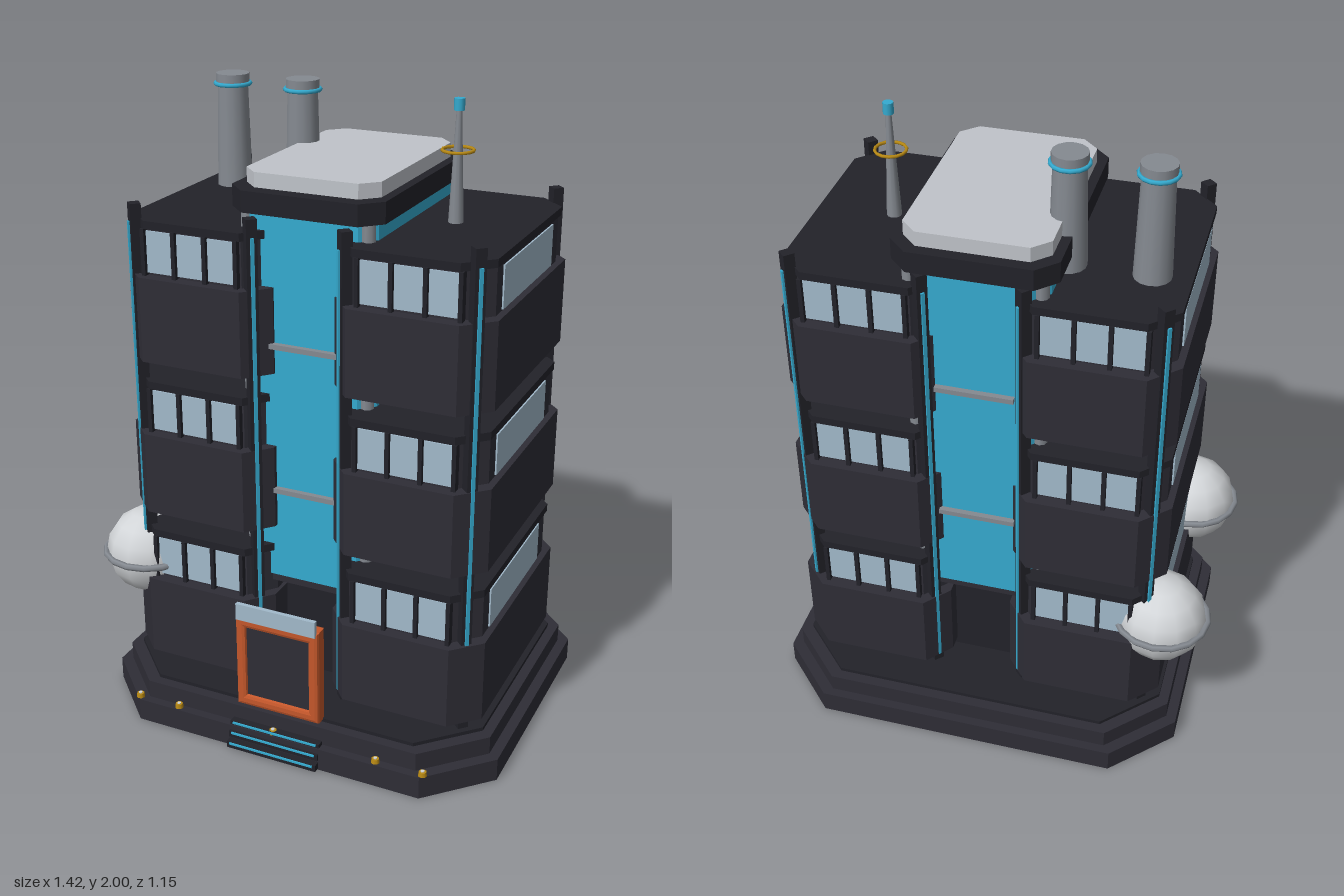
import * as THREE from 'three';

const mat = (name, color) => Object.assign(new THREE.MeshStandardMaterial({ color }), { name });
const dark = mat('charcoal wall', 0x2e2d36);
const trim = mat('black trim', 0x222229);
const blue = mat('cyan glass', 0x35abd0);
const pane = mat('pale window', 0xa2bacb);
const metal = mat('grey metal', 0x858a91);
const light = mat('light roof', 0xc0c4ca);
const white = mat('dome white', 0xd2d5d8);
const orange = mat('orange frame', 0xc4572b);
const gold = mat('gold lamp', 0xb98a14);

const CX = 0.035, CZ = -0.015; // plan centre of the tower

export function createModel() {
  const root = new THREE.Group();
  root.name = 'officeTower';

  const add = (name, geo, material, x = 0, y = 0, z = 0) => {
    const m = new THREE.Mesh(geo, material);
    m.name = name;
    m.position.set(x, y, z);
    root.add(m);
    return m;
  };
  const box = (name, material, w, h, d, x, y, z) =>
    add(name, new THREE.BoxGeometry(w, h, d), material, x, y, z);
  // upright prism from a plan outline, between heights y0 and y1
  const prism = (name, material, pts, y0, y1, z = CZ) => {
    const shape = new THREE.Shape(pts.map(p => new THREE.Vector2(p[0], p[1])));
    const g = new THREE.ExtrudeGeometry(shape, { depth: y1 - y0, bevelEnabled: false });
    g.rotateX(-Math.PI / 2);
    return add(name, g, material, CX, y0, z);
  };
  // rectangle with cut corners
  const octagon = (w, d, c) => [[w - c, -d], [w, c - d], [w, d - c], [w - c, d],
    [c - w, d], [-w, d - c], [-w, c - d], [c - w, -d]];

  // stepped base
  prism('basePlinth', dark, octagon(0.675, 0.562, 0.185), 0, 0.075);
  prism('baseStep', dark, octagon(0.642, 0.533, 0.175), 0.075, 0.135);
  prism('baseTop', trim, octagon(0.61, 0.50, 0.165), 0.135, 0.147);

  // central core with glass shaft, collar and roof cap
  prism('lowerCore', trim, octagon(0.19, 0.27, 0.05), 0.14, 0.49, -0.03);
  prism('coreSoffit', dark, octagon(0.21, 0.325, 0.05), 0.48, 0.505, -0.03);
  prism('glassCore', blue, octagon(0.215, 0.33, 0.045), 0.505, 1.69, -0.03);
  prism('roofCollar', trim, octagon(0.243, 0.365, 0.06), 1.69, 1.755, -0.03);
  prism('roofCap', light, octagon(0.214, 0.322, 0.05), 1.755, 1.8, -0.035);
  for (const sx of [-1, 1]) for (const sz of [-1, 1]) {
    add('coreColumn', new THREE.CylinderGeometry(0.022, 0.022, 1.2, 8), metal,
      CX + sx * 0.192, 1.1, -0.03 + sz * 0.305);
  }
  for (const sz of [-1, 1]) for (const y of [0.81, 1.285]) {
    box('glassBar', metal, 0.24, 0.016, 0.02, CX, y, -0.03 + sz * 0.338);
  }

  // outline of one wing: cut outer corners and cut inner corners facing the shaft
  const wing = (s, outer, depth, front, inner, cut) => [
    [inner, depth - 0.08], [front, depth], [outer - cut, depth], [outer, depth - cut],
    [outer, cut - depth], [outer - cut, -depth], [front, -depth], [inner, 0.08 - depth],
  ].map(([u, v]) => [s * u, v]);

  // three storeys, each with a left and a right wing
  for (let f = 0; f < 3; f++) {
    const y = 0.175 + f * 0.51, k = 0.008 * f;
    for (const s of [-1, 1]) {
      prism('wingWall', dark, wing(s, 0.603 - k / 2, 0.417 - k, 0.17, 0.1, 0.085), y, y + 0.27);
      prism('windowStorey', dark, wing(s, 0.582 - k / 2, 0.378 - k, 0.18, 0.112, 0.08), y + 0.27, y + 0.415);
      prism('wingRoof', trim, wing(s, 0.588 - k / 2, 0.392 - k, 0.178, 0.11, 0.08), y + 0.415, y + 0.44);
      box('sideWindow', pane, 0.008, 0.13, 0.475 - k * 1.5,
        CX + s * (0.583 - k / 2), y + 0.34, -0.008);
      for (const sz of [-1, 1]) {
        box('frontWindow', pane, 0.31, 0.13, 0.008, CX + s * 0.35, y + 0.343, CZ + sz * (0.379 - k));
        for (let i = 0; i < 4; i++) {
          box('windowFin', trim, 0.013, 0.145, 0.026,
            CX + s * (0.192 + i * 0.104), y + 0.343, CZ + sz * (0.383 - k));
        }
      }
    }
  }

  // corner posts with a light strip on the outward face
  for (const sx of [-1, 1]) for (const sz of [-1, 1]) {
    for (const [u, v, out] of [[0.543, 0.352, 1], [0.15, 0.36, -1]]) {
      const post = new THREE.Group();
      post.name = 'cornerPost';
      post.position.set(CX + sx * u, 0, CZ + sz * v);
      post.rotation.y = Math.atan2(sx * out, sz);
      const body = new THREE.Mesh(new THREE.BoxGeometry(0.034, 1.535, 0.034), trim);
      body.name = 'postBody';
      body.position.y = 0.9125;
      const strip = new THREE.Mesh(new THREE.BoxGeometry(0.011, 1.45, 0.008), blue);
      strip.name = 'postLightStrip';
      strip.position.set(0, 0.9, 0.019);
      post.add(body, strip);
      root.add(post);
    }
  }

  // entrance: orange frame, dark door and glass sign plate
  const frame = new THREE.Shape([[-0.13, 0], [0.13, 0], [0.13, 0.3], [-0.13, 0.3]]
    .map(p => new THREE.Vector2(...p)));
  frame.holes.push(new THREE.Path([[-0.118, 0.015], [-0.118, 0.282], [0.118, 0.282], [0.118, 0.015]]
    .map(p => new THREE.Vector2(...p))));
  add('doorFrame', new THREE.ExtrudeGeometry(frame, {
    depth: 0.032, bevelSize: 0.012, bevelThickness: 0.011, bevelSegments: 2,
  }), orange, CX, 0.155, 0.476);
  box('door', dark, 0.235, 0.28, 0.03, CX, 0.3, 0.494);
  box('entrancePlate', pane, 0.27, 0.055, 0.014, CX, 0.482, 0.517);

  // entrance steps with lit edges
  [[0.085, 0.542], [0.055, 0.555], [0.025, 0.57]].forEach(([y, z]) => {
    box('entranceStep', trim, 0.31, 0.022, z - 0.48, CX, y - 0.008, (z + 0.48) / 2);
    box('stepLight', blue, 0.29, 0.006, 0.006, CX, y - 0.001, z + 0.002);
  });

  // ground lamps along the front ledge
  for (const x of [-0.46, -0.315, 0.025, 0.19, 0.375, 0.53]) {
    if (x === 0.19) continue;
    add('groundLamp', new THREE.CylinderGeometry(0.012, 0.014, 0.014, 8), gold, x, 0.082, 0.53);
    add('lampLens', new THREE.CylinderGeometry(0.006, 0.006, 0.004, 8), white, x, 0.09, 0.53);
  }

  // ball tanks on the model's right side, each with a rim
  for (const z of [-0.315, 0.275]) {
    add('ballTank', new THREE.SphereGeometry(0.145, 12, 8), white, -0.555, 0.48, z);
    const rim = add('tankRim', new THREE.TorusGeometry(0.148, 0.011, 6, 16), metal, -0.555, 0.48, z);
    rim.rotation.x = Math.PI / 2;
  }

  // chimneys
  for (const x of [-0.43, -0.185]) {
    add('chimney', new THREE.CylinderGeometry(0.048, 0.057, 0.34, 14), metal, x, 1.795, -0.15);
    add('chimneyLip', new THREE.CylinderGeometry(0.053, 0.053, 0.03, 14), metal, x, 1.975, -0.15);
    const band = add('chimneyBand', new THREE.TorusGeometry(0.055, 0.007, 6, 14), blue, x, 1.958, -0.15);
    band.rotation.x = Math.PI / 2;
  }

  // antenna with ring and beacon
  const ax = 0.38, az = -0.015;
  add('antennaMast', new THREE.CylinderGeometry(0.008, 0.023, 0.335, 10), metal, ax, 1.8025, az);
  add('antennaBeacon', new THREE.CylinderGeometry(0.016, 0.016, 0.035, 10), blue, ax, 1.9825, az);
  const ring = add('antennaRing', new THREE.TorusGeometry(0.047, 0.005, 6, 14), gold, ax, 1.85, az);
  ring.rotation.x = Math.PI / 2;

  return root;
}
